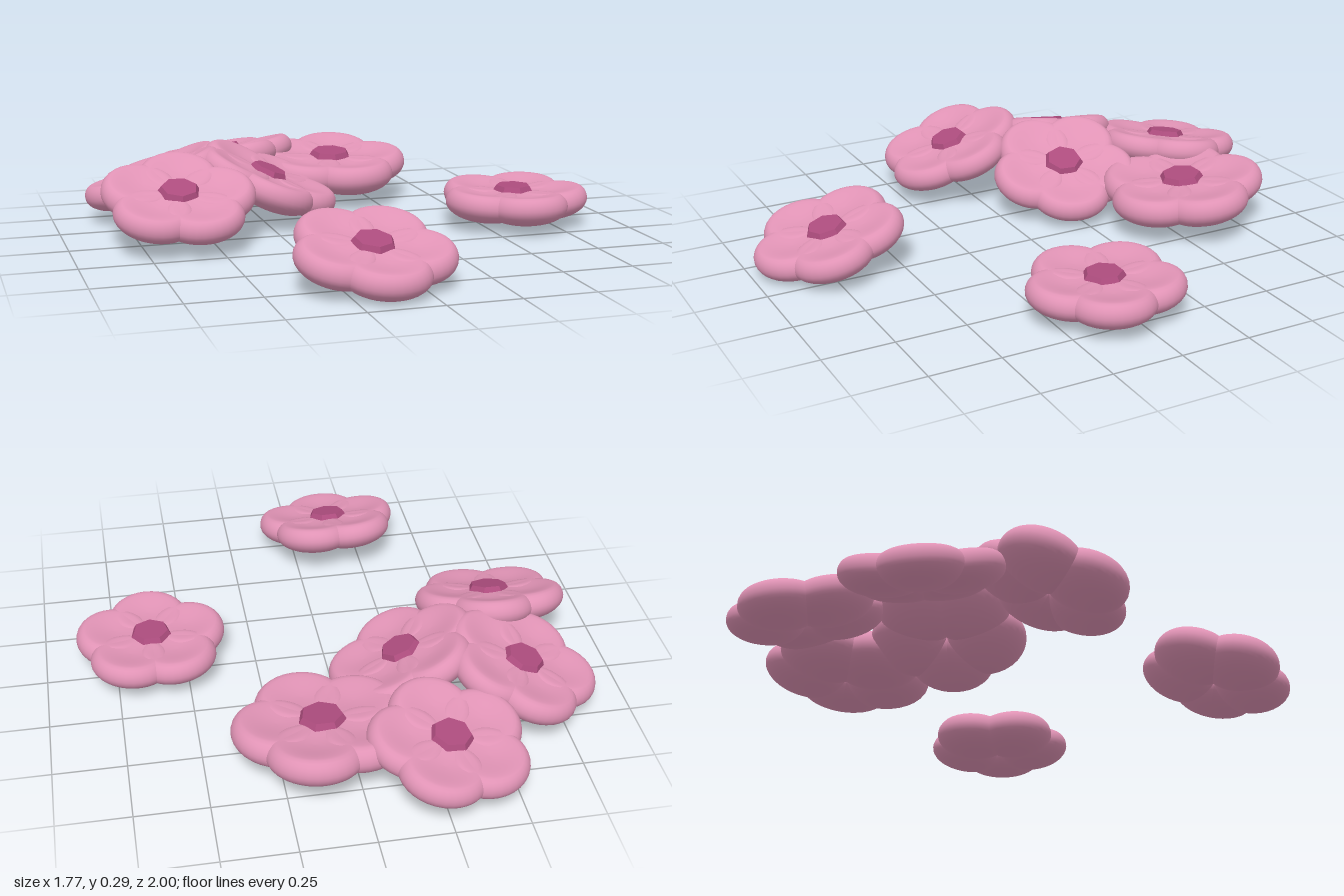
import * as THREE from 'three';

const petalMat = new THREE.MeshStandardMaterial({ color: 0xe093b5 });
petalMat.name = 'petal pink';
const centreMat = new THREE.MeshStandardMaterial({ color: 0xac4c7d, flatShading: true });
centreMat.name = 'centre magenta';

// Puffy petal pointing along +x: rounded below, broad rim and sunken top above
function petalGeometry() {
  const geo = new THREE.SphereGeometry(1, 32, 24);
  const p = geo.attributes.position;
  for (let i = 0; i < p.count; i++) {
    const x = p.getX(i), y = p.getY(i), z = p.getZ(i);
    const r = Math.min(1, Math.hypot(x, z));
    let h = -0.068 * Math.sqrt(Math.max(0, 1 - r ** 2.4));
    if (y > 0) {
      h = 0.062 * Math.sqrt(Math.max(0, 1 - r ** 4));
      h -= 0.026 * Math.max(0, 1 - (r * r) / 0.66);
    }
    p.setXYZ(i, 0.14 + x * 0.141, h + x * 0.012, z * 0.15);
  }
  geo.computeVertexNormals();
  return geo;
}

// Each flower: disc position, facing direction, turn of the petals in degrees, scale
const flowers = [
  { at: [-0.288, 0.188, -0.752], up: [-0.12, 1, -0.15], turn: 4, size: 0.98 },
  { at: [0.105, 0.168, -0.573], up: [0.0, 1, 0.1], turn: 0, size: 1.08 },
  { at: [-0.63, 0.192, -0.4], up: [-0.32, 1, -0.12], turn: 45, size: 0.98 },
  { at: [-0.225, 0.182, -0.258], up: [0.4, 1, 0.13], turn: 16, size: 0.98 },
  { at: [-0.62, 0.192, 0.04], up: [0.0, 1, 0.35], turn: 64, size: 0.98 },
  { at: [0.618, 0.127, 0.06], up: [0, 1, 0.01], turn: 18, size: 0.97 },
  { at: [-0.143, 0.139, 0.73], up: [0.04, 1, 0.26], turn: 16, size: 0.97 },
];

export function createModel() {
  const model = new THREE.Group();
  model.name = 'scatteredBlossoms';
  const petalGeo = petalGeometry();
  const centreGeo = new THREE.CylinderGeometry(0.064, 0.084, 0.032, 7);
  const yAxis = new THREE.Vector3(0, 1, 0);

  flowers.forEach(({ at, up, turn, size }, n) => {
    const flower = new THREE.Group();
    flower.name = `flower${n + 1}`;
    const normal = new THREE.Vector3(...up).normalize();
    flower.quaternion.setFromUnitVectors(yAxis, normal);
    flower.position.set(...at).addScaledVector(normal, -0.038);
    flower.scale.setScalar(size);

    // Ring of five petals
    for (let i = 0; i < 5; i++) {
      const petal = new THREE.Mesh(petalGeo, petalMat);
      petal.name = 'petal';
      petal.rotation.y = -THREE.MathUtils.degToRad(turn + i * 72);
      flower.add(petal);
    }

    // Seven-sided bevelled centre
    const centre = new THREE.Mesh(centreGeo, centreMat);
    centre.name = 'flowerCentre';
    centre.position.y = 0.041;
    flower.add(centre);
    model.add(flower);
  });
  return model;
}
